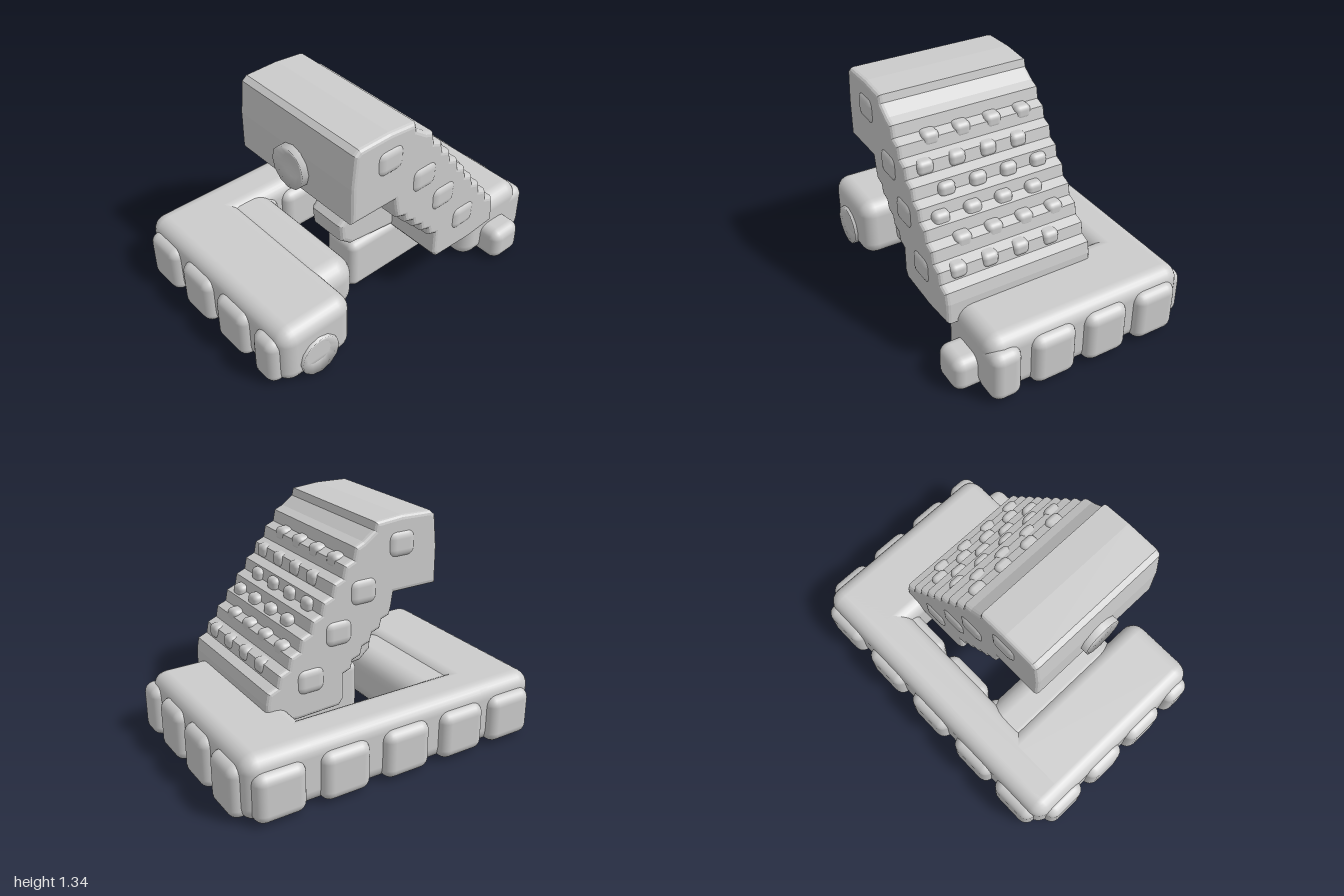
import * as THREE from 'three';
import { RoundedBoxGeometry } from 'three/addons/geometries/RoundedBoxGeometry.js';

const material = new THREE.MeshStandardMaterial({ color: 0xcccccc });
const dishMaterial = new THREE.MeshStandardMaterial({ color: 0xcccccc, side: THREE.DoubleSide });

export function createModel() {
  const model = new THREE.Group();

  const add = (name, geometry, mat = material) => {
    const mesh = new THREE.Mesh(geometry, mat);
    mesh.name = name;
    model.add(mesh);
    return mesh;
  };

  // Rounded box given by its limits on each axis
  const block = (name, [x0, x1], [y0, y1], [z0, z1], r = 0.06) => {
    const size = [x1 - x0, y1 - y0, z1 - z0];
    const radius = Math.min(r, Math.min(...size) * 0.45);
    add(name, new RoundedBoxGeometry(...size, 3, radius))
      .position.set((x0 + x1) / 2, (y0 + y1) / 2, (z0 + z1) / 2);
  };

  // Bevelled slab: an x-y outline extruded from z0 to z1
  const slab = (name, outline, z0, z1, bevel) => {
    const shape = new THREE.Shape(outline.map(([x, y]) => new THREE.Vector2(x, y)));
    const geometry = new THREE.ExtrudeGeometry(shape, {
      depth: z1 - z0 - 2 * bevel, bevelThickness: bevel, bevelSize: bevel,
      bevelOffset: -bevel, bevelSegments: 3,
    });
    geometry.translate(0, 0, z0 + bevel);
    add(name, geometry);
  };

  // Points of a staircase between two corners
  const stairs = ([x0, y0], [x1, y1], count) => {
    const points = [];
    for (let i = 0; i < count; i++) {
      const x = x0 + (x1 - x0) * (i + 0.75) / count;
      points.push([x, y0 + (y1 - y0) * i / count + (y1 - y0) * 0.25 / count]);
      points.push([x + (x1 - x0) * 0.2 / count, y0 + (y1 - y0) * (i + 1) / count]);
    }
    return points;
  };

  // U-shaped base
  block('leftArm', [-0.95, -0.47], [0, 0.38], [-0.66, 0.63], 0.09);
  block('leftArmInnerEdge', [-0.6, -0.25], [0.02, 0.36], [-0.6, 0.42], 0.12);
  block('backBar', [-0.95, 0.95], [0, 0.38], [-0.66, -0.36], 0.09);
  block('rightArm', [0.47, 0.95], [0, 0.38], [-0.66, 0.58], 0.09);
  block('rightArmToe', [0.61, 0.83], [0, 0.21], [0.48, 0.71], 0.06);

  // Scalloped pads along the outer sides
  for (const z of [-0.46, -0.13, 0.2, 0.49]) {
    const half = z > 0.4 ? 0.09 : 0.135;
    block('sidePad', [-1, -0.8], [0.01, 0.32], [z - half, z + half]);
    block('sidePad', [0.8, 1], [0.01, 0.32], [z - half, z + half]);
  }

  // Scalloped pads along the back bar
  for (const x of [-0.75, -0.4, -0.02, 0.37, 0.76]) {
    block('backPad', [x - 0.15, x + 0.15], [0.01, 0.3], [-0.71, -0.5]);
    if (Math.abs(x) < 0.5) {
      block('innerPad', [x - 0.17, x + 0.17], [0.01, 0.32], [-0.5, -0.31]);
    }
  }

  // Centre strut and the knob that props up the ramp
  block('strut', [-0.2, 0.6], [0, 0.34], [0.07, 0.31], 0.05);
  slab('prop', [[-0.2, 0.36], [0.3, 0.3], [0.3, 0.62], [-0.1, 0.78], [-0.2, 0.78],
    [-0.21, 0.6], [-0.28, 0.53], [-0.27, 0.42]], 0.04, 0.3, 0.03);

  // Stepped ramp with the overhanging head
  slab('ramp', [
    [-0.5, 0.9], [-0.5, 1.12], [-0.48, 1.31], [-0.45, 1.335], [-0.25, 1.34], [-0.08, 1.325],
    [-0.07, 1.28], [0, 1.23],
    ...stairs([0, 1.23], [0.62, 0.42], 9),
    [0.62, 0.3], [0.41, 0.28], [0.15, 0.29], [0.12, 0.33], [0.12, 0.48],
    ...stairs([0.12, 0.48], [-0.2, 0.82], 5),
    [-0.21, 0.9],
  ], -0.27, 0.64, 0.025);

  // Staggered studs down the ramp
  for (let i = 0; i < 6; i++) {
    const x = 0.08 + i * 0.085;
    const y = 1.23 - x * 1.307;
    for (let j = 0; j < 4; j++) {
      const z = -0.13 + j * 0.19 + (i % 2) * 0.08;
      block('rampStud', [x - 0.05, x + 0.05], [y - 0.06, y + 0.025], [z - 0.05, z + 0.05], 0.03);
    }
  }

  // Edge lumps on both sides of the ramp
  for (const [x, y] of [[-0.25, 1.18], [0, 0.95], [0.16, 0.74], [0.34, 0.5]]) {
    block('rampLump', [x - 0.1, x + 0.1], [y - 0.09, y + 0.09], [-0.285, 0.655], 0.06);
  }

  // Shallow eight-sided dishes on the front of the left arm and the side of the head
  const dish = (name) => add(name, new THREE.LatheGeometry([
    new THREE.Vector2(0, 0.01), new THREE.Vector2(0.07, 0.015),
    new THREE.Vector2(0.125, 0.04), new THREE.Vector2(0.125, -0.06),
  ], 12), dishMaterial);
  const frontDish = dish('frontDish');
  frontDish.rotation.x = Math.PI / 2;
  frontDish.position.set(-0.72, 0.125, 0.61);
  const headDish = dish('headDish');
  headDish.rotation.z = Math.PI / 2;
  headDish.position.set(-0.5, 1.02, 0.185);

  return model;
}
